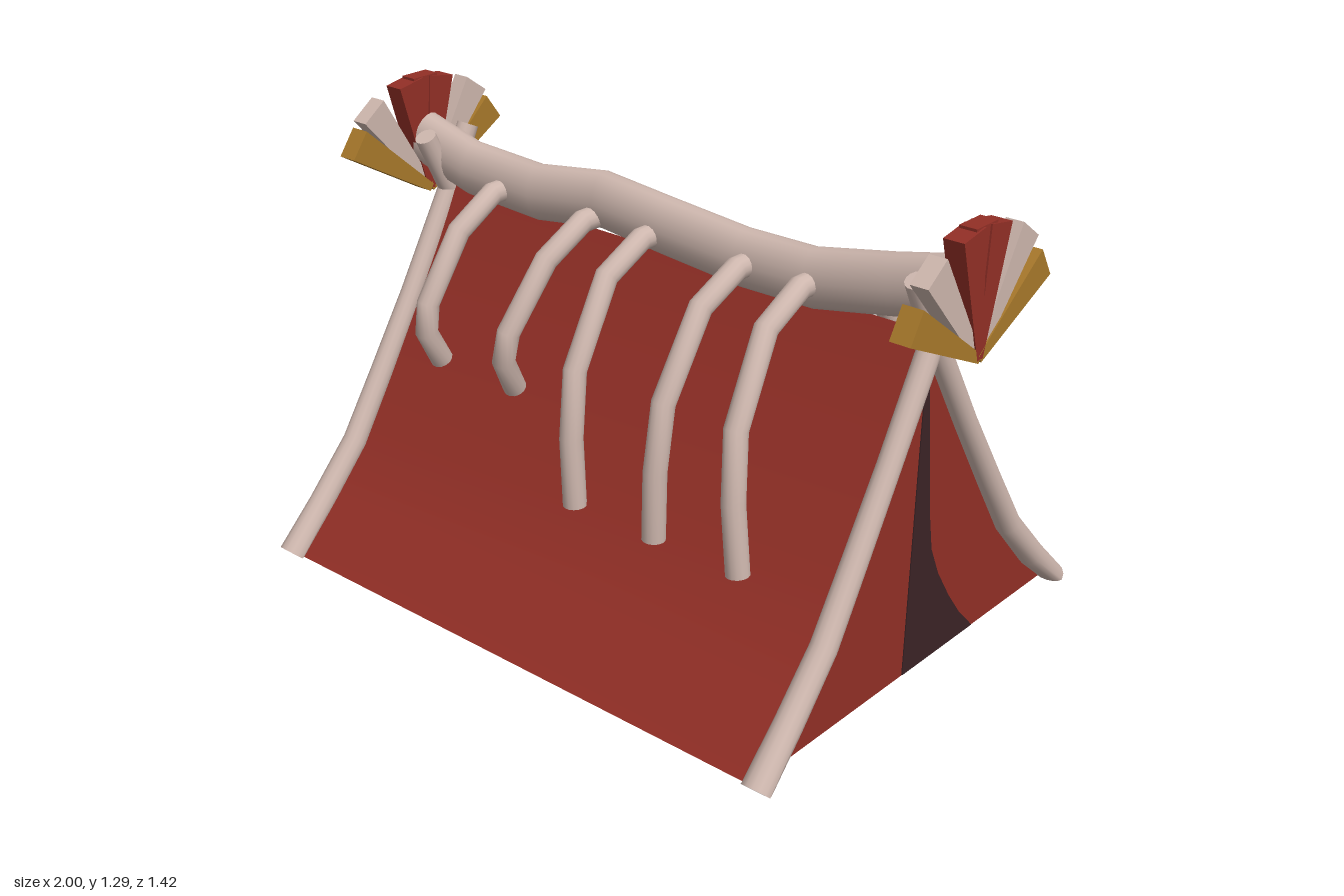
import * as THREE from 'three';

const mat = (name, color, side = THREE.FrontSide) => {
  const m = new THREE.MeshStandardMaterial({ color, side });
  m.name = name;
  return m;
};

// Round bar through points [x, y, z, radius]; ref is a direction across the bar
function bar(points, ref, sides = 14) {
  const P = points.map(p => new THREE.Vector3(p[0], p[1], p[2]));
  const pos = [], idx = [], n = P.length;
  const rings = P.map((p, i) => {
    const t = new THREE.Vector3();
    if (i > 0) t.add(P[i].clone().sub(P[i - 1]).normalize());
    if (i < n - 1) t.add(P[i + 1].clone().sub(P[i]).normalize());
    t.normalize();
    const u = ref.clone().addScaledVector(t, -ref.dot(t)).normalize();
    const v = t.clone().cross(u);
    return Array.from({ length: sides }, (_, j) => {
      const a = j / sides * Math.PI * 2, r = points[i][3];
      const q = p.clone().addScaledVector(u, r * Math.cos(a)).addScaledVector(v, r * Math.sin(a));
      q.y = Math.max(q.y, 0);
      return q;
    });
  });
  rings.forEach(ring => ring.forEach(q => pos.push(q.x, q.y, q.z)));
  for (let i = 0; i < n - 1; i++) for (let j = 0; j < sides; j++) {
    const k = (j + 1) % sides, a = i * sides + j, b = i * sides + k;
    idx.push(a, b, a + sides, b, b + sides, a + sides);
  }
  // Flat end caps with their own vertices
  [0, n - 1].forEach(i => {
    const s = pos.length / 3;
    rings[i].forEach(q => pos.push(q.x, q.y, q.z));
    for (let j = 1; j < sides - 1; j++) {
      if (i) idx.push(s, s + j, s + j + 1);
      else idx.push(s, s + j + 1, s + j);
    }
  });
  const g = new THREE.BufferGeometry();
  g.setAttribute('position', new THREE.Float32BufferAttribute(pos, 3));
  g.setIndex(idx);
  g.computeVertexNormals();
  return g;
}

// Flat outline in (z, y), extruded along x and centred on x = 0
function plate(outline, depth) {
  const shape = new THREE.Shape(outline.map(p => new THREE.Vector2(p[0], p[1])));
  return new THREE.ExtrudeGeometry(shape, { depth, bevelEnabled: false })
    .translate(0, 0, -depth / 2).rotateY(-Math.PI / 2);
}

export function createModel() {
  const model = new THREE.Group();
  const red = mat('red cloth', 0x922f26, THREE.DoubleSide);
  const bone = mat('pale bone', 0xcdb6ad);
  const gold = mat('gold', 0xa8792b);
  const dark = mat('dark opening', 0x3b2326);
  const add = (name, geo, material, parent = model) => {
    const m = new THREE.Mesh(geo, material);
    m.name = name;
    parent.add(m);
    return m;
  };
  const X = new THREE.Vector3(1, 0, 0), Z = new THREE.Vector3(0, 0, 1);

  // Sloping cloth walls, open underneath
  const profile = [[0, 0.98], [0.08, 0.82], [0.165, 0.67], [0.29, 0.46], [0.41, 0.27], [0.53, 0.14], [0.67, 0]];
  for (const s of [1, -1]) {
    const wall = new THREE.PlaneGeometry(1.7, 1, 1, profile.length - 1);
    const p = wall.attributes.position;
    for (let i = 0; i < p.count; i++) {
      const [z, y] = profile[Math.floor(i / 2)];
      p.setXYZ(i, p.getX(i), y, z);
    }
    wall.computeVertexNormals();
    if (s < 0) wall.rotateY(Math.PI);
    add(s > 0 ? 'frontWall' : 'backWall', wall, red);
  }

  // End walls with a drawn-back door flap
  const gable = [...profile, ...profile.slice(1).reverse().map(([z, y]) => [-z, y])];
  const door = [[0.035, 0.002], [0.004, 0.87], [-0.012, 0.85], [-0.04, 0.57], [-0.052, 0.45],
    [-0.07, 0.34], [-0.11, 0.25], [-0.17, 0.155], [-0.23, 0.075], [-0.3, 0.002]];
  for (const s of [1, -1]) {
    add('endWall', plate(gable, 0.002), red).position.x = s * 0.85;
    add('doorOpening', plate(door, 0.008), dark).position.x = s * 0.85;
  }

  // Crossed corner poles
  for (const sx of [1, -1]) for (const sz of [1, -1]) {
    const path = [[0.68, 0, 0.042], [0.56, 0.125, 0.038], [0.42, 0.28, 0.036], [0.3, 0.47, 0.034],
      [0.17, 0.68, 0.032], [0, 0.97, 0.032], [-0.085, 1.145, 0.032]];
    add('cornerPole', bar(path.map(([z, y, r], i) => [sx * (0.875 - i * 0.002), y, sz * z, r]), X), bone);
  }

  // Wavy ridge beam, taller than it is wide
  const ridge = [[-0.95, 1.105], [-0.75, 1.053], [-0.48, 1.04], [-0.23, 1.075], [0, 1.053],
    [0.27, 1.03], [0.5, 1.032], [0.75, 1.08], [0.95, 1.125]];
  add('ridgeBeam', bar(ridge.map(([x, y]) => [x, y, 0, 0.083]), Z, 20).scale(1, 1, 0.67), bone);

  // Bent ribs hanging on both sides: top x, bottom x, long or short
  const longFront = [[0, 1.03], [0.08, 1.03], [0.22, 0.965], [0.355, 0.74], [0.38, 0.55], [0.378, 0.35]];
  const longBack = [[0, 1.03], [0.08, 1.03], [0.2, 0.96], [0.3, 0.86], [0.39, 0.58], [0.35, 0.36]];
  const short = [[0, 1.03], [0.08, 1.03], [0.21, 0.95], [0.325, 0.76], [0.33, 0.67], [0.27, 0.565]];
  const ribs = [[-0.595, -0.635, 0], [-0.24, -0.335, 0], [-0.025, -0.005, 1], [0.305, 0.28, 1], [0.51, 0.565, 1]];
  for (const [x0, x1, isLong] of ribs) for (const s of [1, -1]) {
    const path = isLong ? (s > 0 ? longFront : longBack) : short;
    const yEnd = path[path.length - 1][1];
    const pts = path.map(([z, y]) => [x0 + (x1 - x0) * (1.03 - y) / (1.03 - yEnd), y, s * z, 0.033]);
    add(s > 0 ? 'frontRib' : 'backRib', bar(pts, X), bone);
  }

  // Fans of tapered slats at both ridge ends
  const slat = (len, depth) => plate([[-0.012, 0], [0.012, 0], [0.046, len], [-0.046, len]], depth);
  for (const s of [1, -1]) {
    const fan = new THREE.Group();
    fan.name = s > 0 ? 'leftFan' : 'rightFan';
    fan.position.set(s * 0.97, 0.95, 0);
    model.add(fan);
    const slats = [[0, 0.345, 0.05, red, 'redSlat']];
    for (const k of [1, -1]) slats.push(
      [k * 10, 0.34, 0.06, red, 'redSlat'],
      [k * 36, 0.345, 0.052, bone, 'paleSlat'],
      [k * (s > 0 ? 59 : 54), 0.33, 0.06, gold, 'goldSlat']);
    for (const [deg, len, depth, m, name] of slats)
      add(name, slat(len, depth), m, fan).rotation.x = THREE.MathUtils.degToRad(deg);
  }
  return model;
}
